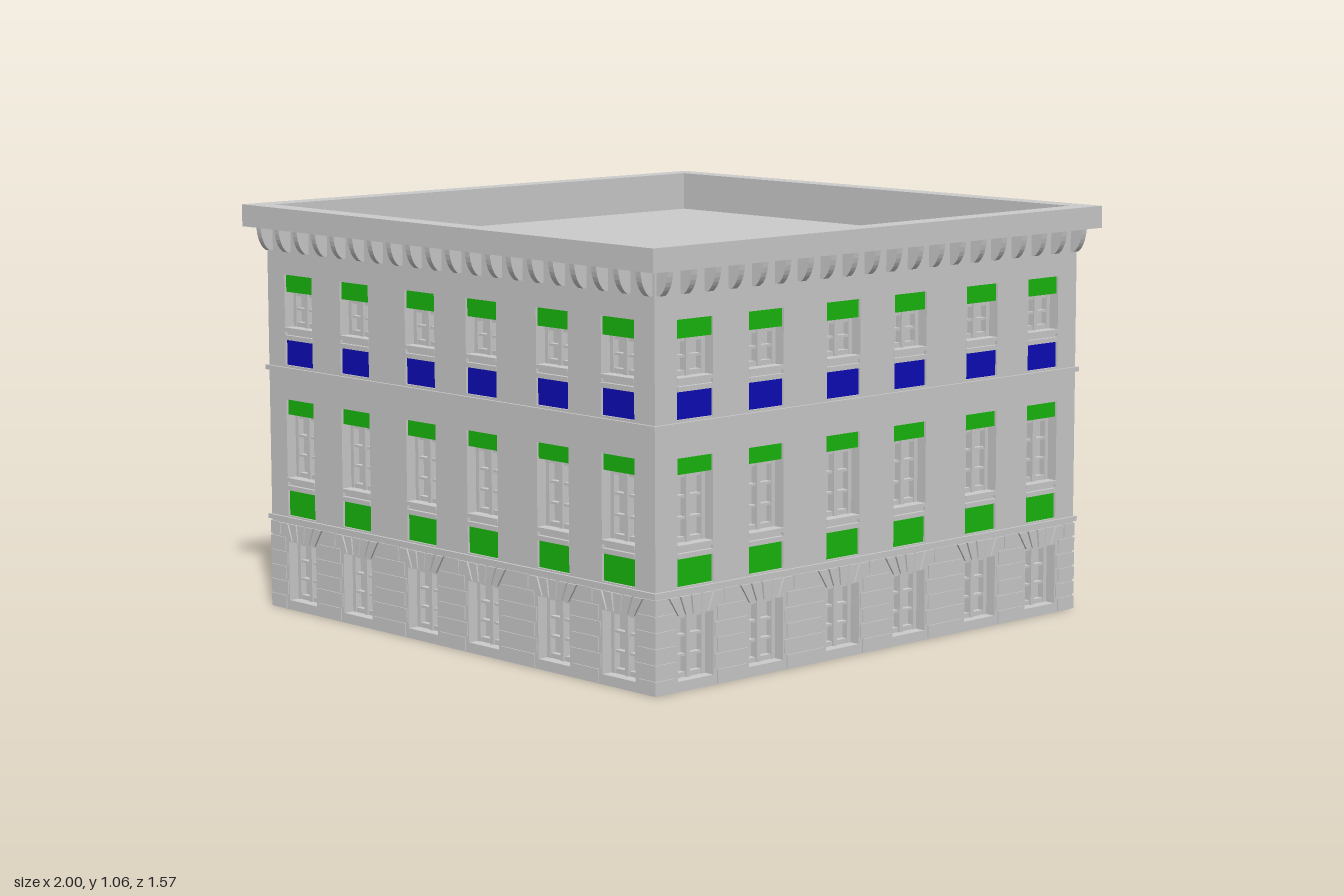
import * as THREE from 'three';

const grey = new THREE.MeshStandardMaterial({ color: 0xcccccc, flatShading: true });
const green = new THREE.MeshStandardMaterial({ color: 0x18b80e });
const blue = new THREE.MeshStandardMaterial({ color: 0x0c0cb8 });

const HALF = 0.74, THICK = 0.05, OPEN = 0.115;
const COLUMNS = [-0.612, -0.38, -0.118, 0.118, 0.38, 0.612];
const DOOR_X = -0.118;

// box given by its extents
function box(parent, name, x0, x1, y0, y1, z0, z1, mat = grey) {
  const m = new THREE.Mesh(new THREE.BoxGeometry(x1 - x0, y1 - y0, z1 - z0), mat);
  m.position.set((x0 + x1) / 2, (y0 + y1) / 2, (z0 + z1) / 2);
  m.name = name;
  parent.add(m);
  return m;
}

function rectPath(Type, x0, x1, y0, y1) {
  return new Type([[x0, y0], [x1, y0], [x1, y1], [x0, y1]].map(p => new THREE.Vector2(...p)));
}

function extrude(shape, depth) {
  return new THREE.ExtrudeGeometry(shape, { depth, bevelEnabled: false, curveSegments: 6 });
}

// square ring lying flat between two heights
function ring(parent, name, outer, inner, y0, y1) {
  const s = rectPath(THREE.Shape, -outer, outer, -outer, outer);
  s.holes.push(rectPath(THREE.Path, -inner, inner, -inner, inner));
  const m = new THREE.Mesh(extrude(s, y1 - y0).rotateX(-Math.PI / 2), grey);
  m.position.y = y0;
  m.name = name;
  parent.add(m);
}

// two casements with glazing bars, set back in the opening
function casements(parent, x, y0, y1, rows) {
  const g = new THREE.Group();
  g.name = 'casementWindow';
  const h = OPEN / 2, back = HALF - 0.045, face = HALF - 0.028;
  for (const s of [-1, 1]) {
    box(g, 'windowStile', x + s * (h - 0.006) - 0.006, x + s * (h - 0.006) + 0.006, y0, y1, back, face);
  }
  box(g, 'windowMullion', x - 0.006, x + 0.006, y0, y1, back, face + 0.003);
  for (let i = 0; i <= rows; i++) {
    const t = i === 0 || i === rows ? 0.006 : 0.003;
    const y = THREE.MathUtils.lerp(y0 + 0.006, y1 - 0.006, i / rows);
    box(g, 'windowBar', x - h, x + h, y - t, y + t, back, face - 0.002);
  }
  parent.add(g);
}

// stepped sill moulding across the opening
function sill(parent, x, y0) {
  const h = OPEN / 2;
  box(parent, 'lowerSill', x - h, x + h, y0, y0 + 0.012, HALF - THICK, HALF + 0.002);
  box(parent, 'sillNeck', x - h, x + h, y0 + 0.012, y0 + 0.022, HALF - THICK, HALF - 0.008);
  box(parent, 'upperSill', x - h, x + h, y0 + 0.022, y0 + 0.032, HALF - THICK, HALF + 0.002);
}

function panel(parent, name, x, y0, y1, mat) {
  box(parent, name, x - OPEN / 2, x + OPEN / 2, y0, y1, HALF - THICK, HALF - 0.006, mat);
}

function door(parent, x) {
  const g = new THREE.Group();
  g.name = 'door';
  const z = HALF - 0.035, h = OPEN / 2;
  box(g, 'doorLeaf', x - h, x + h, 0.25, 0.555, HALF - THICK, z);
  for (const s of [-1, 1]) {
    box(g, 'doorJamb', x + s * (h - 0.004) - 0.004, x + s * (h - 0.004) + 0.004, 0.25, 0.555, z, z + 0.015);
    for (const [a, b] of [[0.51, 0.545], [0.385, 0.49]]) {
      box(g, 'doorPanel', x + s * 0.026 - 0.019, x + s * 0.026 + 0.019, a, b, z, z + 0.006);
    }
  }
  box(g, 'doorTransom', x - h, x + h, 0.495, 0.505, z, z + 0.015);
  box(g, 'lowerDoorPanel', x - 0.045, x + 0.045, 0.27, 0.37, z, z + 0.006);
  box(g, 'doorHandle', x + 0.038, x + 0.044, 0.372, 0.384, z, z + 0.016);
  parent.add(g);
}

// fan of wedge stones above a basement window
function voussoirs(parent, x) {
  for (let i = -2; i <= 2; i++) {
    const at = (u, y) => new THREE.Vector2(x + u * y, y === 0.024 ? 0.183 : 0.228);
    const s = new THREE.Shape([at(i - 0.42, 0.024), at(i + 0.42, 0.024), at(i + 0.42, 0.036), at(i - 0.42, 0.036)]);
    const m = new THREE.Mesh(extrude(s, 0.01), grey);
    m.position.z = HALF - 0.005;
    m.name = 'voussoir';
    parent.add(m);
  }
}

// horizontal stone courses broken by the basement windows
function rustication(parent, columns) {
  const rows = 6, pitch = 0.232 / rows;
  for (let r = 0; r < rows; r++) {
    const y0 = r * pitch + 0.002, y1 = (r + 1) * pitch - 0.003;
    const gap = y1 < 0.023 ? 0 : y0 > 0.18 ? 0.092 : OPEN / 2 + (r % 2 ? 0.004 : 0.012);
    let start = -HALF - 0.003;
    for (const x of [...columns, null]) {
      const end = x === null ? HALF + 0.003 : x - gap;
      if (end > start) box(parent, 'stoneCourse', start, end, y0, y1, HALF - 0.004, HALF + 0.003);
      if (x !== null) start = x + gap;
    }
  }
}

// curved corbels below the cornice
function corbels(parent) {
  const s = new THREE.Shape();
  s.moveTo(-0.005, 0.94);
  s.lineTo(0.01, 0.94);
  s.quadraticCurveTo(0.034, 0.955, 0.038, 1.0);
  s.lineTo(-0.005, 1.0);
  const w = 0.018, geo = extrude(s, w).translate(0, 0, -w / 2).rotateY(-Math.PI / 2);
  const count = 20;
  for (let i = 0; i < count; i++) {
    const m = new THREE.Mesh(geo, grey);
    m.position.set(THREE.MathUtils.lerp(-HALF + 0.015, HALF - 0.015, i / (count - 1)), 0, HALF);
    m.name = 'corbel';
    parent.add(m);
  }
}

function facade(name, hasDoor) {
  const g = new THREE.Group();
  g.name = name;
  const wall = rectPath(THREE.Shape, -HALF, HALF, 0, 0.94);
  const cut = (x, y0, y1) => wall.holes.push(rectPath(THREE.Path, x - OPEN / 2, x + OPEN / 2, y0, y1));
  const basement = COLUMNS.filter(x => !(hasDoor && x === DOOR_X));
  for (const x of COLUMNS) {
    // upper floor
    cut(x, 0.645, 0.88);
    panel(g, 'upperLintelPanel', x, 0.835, 0.88, green);
    panel(g, 'upperApronPanel', x, 0.645, 0.71, blue);
    sill(g, x, 0.711);
    casements(g, x, 0.743, 0.835, 2);
    // main floor
    cut(x, 0.25, 0.555);
    if (!basement.includes(x)) {
      door(g, x);
      continue;
    }
    panel(g, 'mainLintelPanel', x, 0.515, 0.555, green);
    panel(g, 'mainApronPanel', x, 0.25, 0.315, green);
    sill(g, x, 0.317);
    casements(g, x, 0.349, 0.515, 3);
    // basement
    cut(x, 0.025, 0.18);
    casements(g, x, 0.025, 0.18, 3);
    voussoirs(g, x);
  }
  const m = new THREE.Mesh(extrude(wall, THICK), grey);
  m.position.z = HALF - THICK;
  m.name = 'wall';
  g.add(m);
  rustication(g, basement);
  corbels(g);
  return g;
}

function rod(parent, name, a, b) {
  const curve = new THREE.LineCurve3(new THREE.Vector3(...a), new THREE.Vector3(...b));
  const m = new THREE.Mesh(new THREE.TubeGeometry(curve, 1, 0.002, 6), grey);
  m.name = name;
  parent.add(m);
}

// entrance stair with its landing and two handrails
function entranceStair() {
  const g = new THREE.Group();
  g.name = 'entranceStair';
  const run = 0.0595, rise = 0.038, x0 = 0.855, depth = 0.245;
  const side = new THREE.Shape();
  side.moveTo(HALF - 0.01, 0);
  side.lineTo(HALF - 0.01, 0.245);
  for (let i = 0; i <= 6; i++) {
    const x = x0 + i * run, y = 0.255 - i * rise;
    side.lineTo(x - 0.006, y - 0.01);
    side.lineTo(x - 0.006, i === 6 ? 0 : y - rise - 0.01);
    box(g, i ? 'tread' : 'landing', i ? x - run - 0.006 : HALF, x, y - 0.01, y, 0, depth);
  }
  const m = new THREE.Mesh(extrude(side, depth - 0.006), grey);
  m.position.z = 0.003;
  m.name = 'stairBody';
  g.add(m);
  for (const z of [0.015, 0.23]) {
    rod(g, 'levelHandrail', [HALF, 0.35, z], [x0, 0.35, z]);
    rod(g, 'slopedHandrail', [x0, 0.35, z], [1.21, 0.115, z]);
    for (const i of [0, 2, 4, 6]) {
      const x = Math.min(x0 + i * run - 0.004, 1.21);
      rod(g, 'railPost', [x, 0.25 - i * rise, z], [x, 0.35 - (x - x0) * 0.662, z]);
    }
  }
  return g;
}

export function createModel() {
  const model = new THREE.Group();
  model.name = 'townhouse';
  ['frontFacade', 'leftFacade', 'backFacade', 'rightFacade'].forEach((name, i) => {
    const f = facade(name, i === 1);
    f.rotation.y = i * Math.PI / 2;
    model.add(f);
  });
  // core, string courses, roof and cornice
  const c = HALF - THICK + 0.002;
  box(model, 'core', -c, c, 0, 0.94, -c, c);
  ring(model, 'lowerStringCourse', HALF + 0.007, HALF - 0.01, 0.234, 0.246);
  ring(model, 'upperStringCourse', HALF + 0.007, HALF - 0.01, 0.627, 0.639);
  box(model, 'roof', -0.73, 0.73, 0.935, 0.955, -0.73, 0.73);
  ring(model, 'parapetWall', HALF, 0.725, 0.94, 1.0);
  ring(model, 'cornice', 0.785, 0.725, 1.0, 1.057);
  model.add(entranceStair());
  model.position.x = -0.215;
  const root = new THREE.Group();
  root.add(model);
  return root;
}
